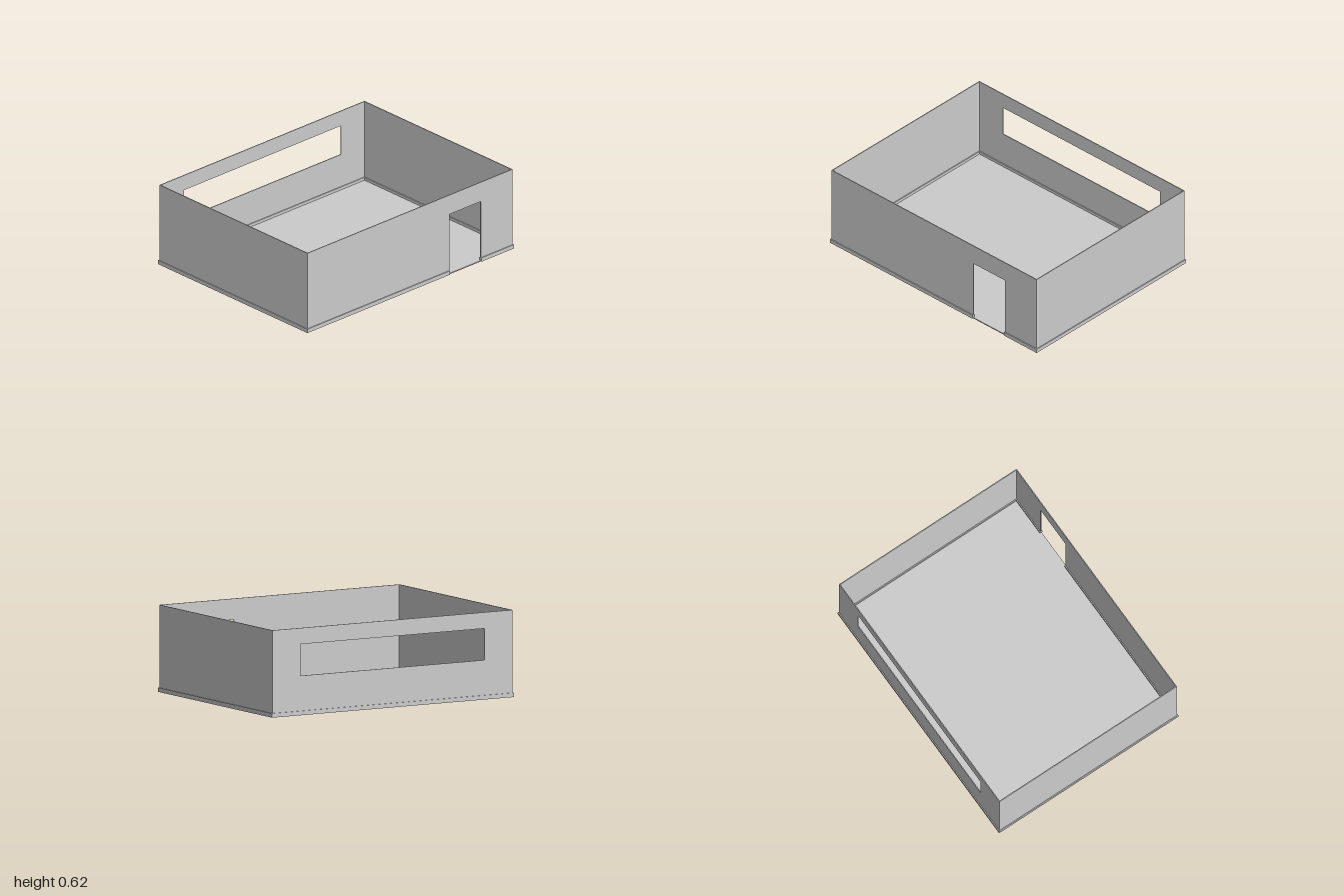
import * as THREE from 'three';

const W = 0.993, D = 0.761, H = 0.62;   // outer half width, outer half depth, wall height
const T = 0.007, FLOOR = 0.008;         // wall and floor thickness
const SKIRT_H = 0.03, SKIRT_T = 0.007;
const DOOR = { x0: 0.38, x1: 0.685, top: 0.47 };
const WINDOW = { x: 0.76, y0: 0.28, y1: 0.505 };

const material = new THREE.MeshStandardMaterial({ color: 0xcccccc, flatShading: true });

function add(parent, name, geometry) {
  const mesh = new THREE.Mesh(geometry, material);
  mesh.name = name;
  parent.add(mesh);
  return mesh;
}

// Box given by its minimum and maximum corners
function block(parent, name, [x0, y0, z0], [x1, y1, z1]) {
  const mesh = add(parent, name, new THREE.BoxGeometry(x1 - x0, y1 - y0, z1 - z0));
  mesh.position.set((x0 + x1) / 2, (y0 + y1) / 2, (z0 + z1) / 2);
}

const polygon = (points) => points.map(([x, y]) => new THREE.Vector2(x, y));

// Upright panel in the xy plane, extruded from z to z + T
function panel(parent, name, shape, z) {
  const geometry = new THREE.ExtrudeGeometry(shape, { depth: T, bevelEnabled: false });
  add(parent, name, geometry).position.z = z;
}

export function createModel() {
  const room = new THREE.Group();
  room.name = 'room';

  block(room, 'floor', [-W, 0, -D], [W, FLOOR, D]);

  // Front wall, notched for the doorway
  panel(room, 'frontWall', new THREE.Shape(polygon([
    [-W, 0], [DOOR.x0, 0], [DOOR.x0, DOOR.top], [DOOR.x1, DOOR.top],
    [DOOR.x1, 0], [W, 0], [W, H], [-W, H],
  ])), D - T);

  // Back wall with a long window opening
  const back = new THREE.Shape(polygon([[-W, 0], [W, 0], [W, H], [-W, H]]));
  const { x, y0, y1 } = WINDOW;
  back.holes.push(new THREE.Path(polygon([[-x, y0], [-x, y1], [x, y1], [x, y0]])));
  panel(room, 'backWall', back, -D);

  // Side walls
  for (const [name, x0] of [['leftWall', W - T], ['rightWall', -W]]) {
    block(room, name, [x0, 0, -D + T], [x0 + T, H, D - T]);
  }

  // Skirting outside and inside the walls, broken at the doorway
  const skirting = new THREE.Group();
  skirting.name = 'skirting';
  room.add(skirting);
  for (const [side, w, d] of [['outer', W + SKIRT_T, D + SKIRT_T], ['inner', W - T, D - T]]) {
    const s = SKIRT_T;
    block(skirting, side + 'BackSkirting', [-w, 0, -d], [w, SKIRT_H, -d + s]);
    block(skirting, side + 'FrontSkirtingRight', [-w, 0, d - s], [DOOR.x0, SKIRT_H, d]);
    block(skirting, side + 'FrontSkirtingLeft', [DOOR.x1, 0, d - s], [w, SKIRT_H, d]);
    block(skirting, side + 'LeftSkirting', [w - s, 0, -d + s], [w, SKIRT_H, d - s]);
    block(skirting, side + 'RightSkirting', [-w, 0, -d + s], [-w + s, SKIRT_H, d - s]);
  }

  return room;
}
